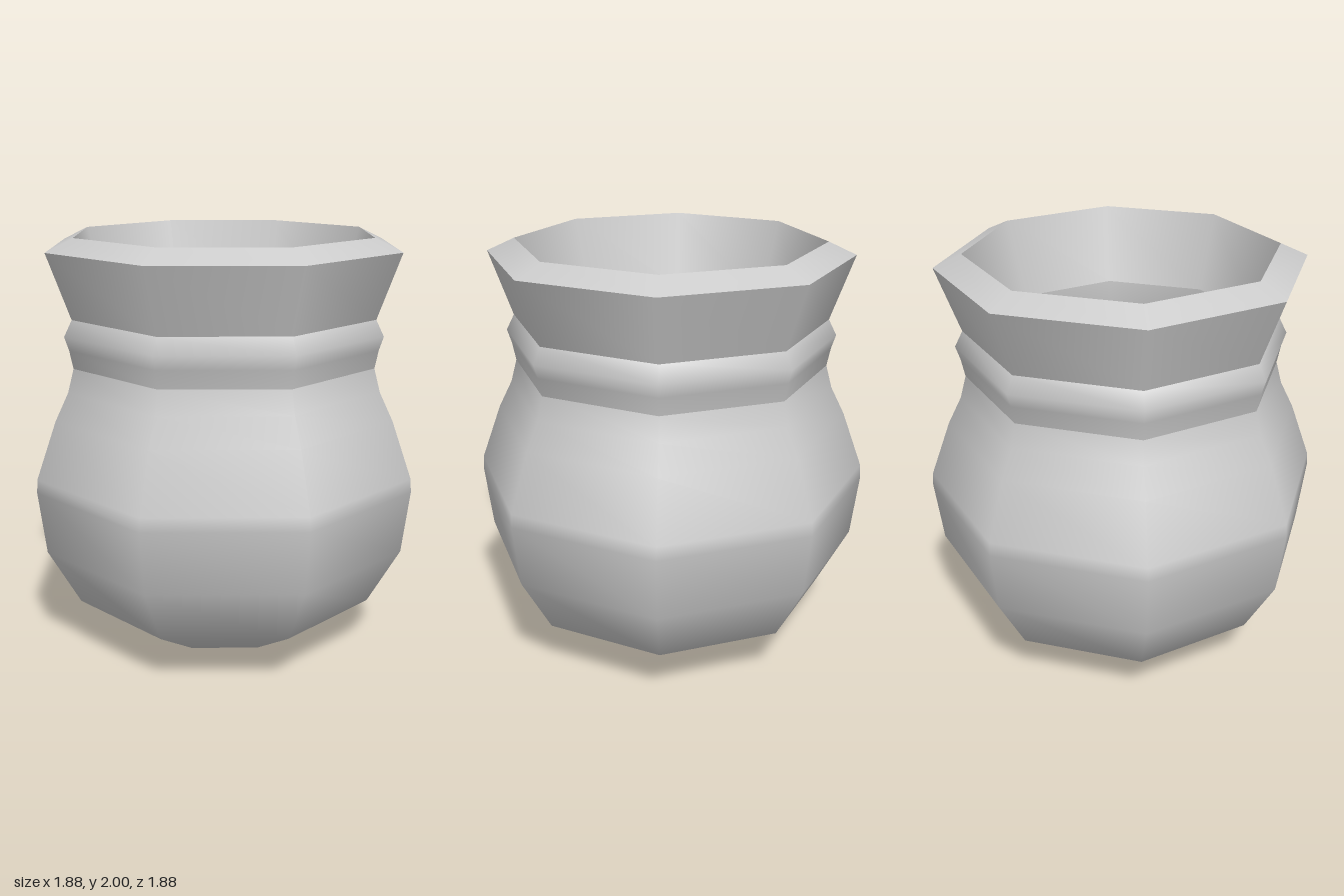
import * as THREE from 'three';

const SIDES = 8;

export function createModel() {
  const jar = new THREE.Group();
  jar.name = 'jar';
  const clay = new THREE.MeshStandardMaterial({ color: 0xcccccc });
  clay.name = 'grey clay';

  // Eight-sided smooth band; separate bands keep a hard edge where they meet.
  function band(name, profile) {
    const geometry = new THREE.LatheGeometry(profile.map(([r, y]) => new THREE.Vector2(r, y)), SIDES);
    const { position, normal } = geometry.attributes;
    // Straight normals where the profile meets the axis
    for (let i = 0; i < position.count; i++) {
      if (Math.hypot(position.getX(i), position.getZ(i)) < 1e-4) {
        normal.setXYZ(i, 0, Math.sign(normal.getY(i)), 0);
      }
    }
    const mesh = new THREE.Mesh(geometry, clay);
    mesh.name = name;
    jar.add(mesh);
  }

  // Rounded belly, from the shallow point underneath to the neck
  band('belly', [
    [0, 0], [0.415, 0.05], [0.752, 0.255], [0.906, 0.535], [0.942, 0.835],
    [0.938, 0.9], [0.84, 1.17], [0.775, 1.3], [0.745, 1.41],
  ]);
  // Raised ring around the neck
  band('neckRing', [[0.745, 1.41], [0.762, 1.495], [0.783, 1.56], [0.745, 1.635]]);
  // Flared collar and its sloping lip
  band('collar', [[0.745, 1.635], [0.855, 1.94]]);
  band('lip', [[0.855, 1.94], [0.725, 2]]);
  // Inside of the collar, narrowing to the throat
  band('throat', [[0.725, 2], [0.625, 1.635]]);
  // Hollow inside of the belly
  band('hollow', [
    [0.625, 1.635], [0.63, 1.41], [0.72, 1.17], [0.82, 0.87],
    [0.785, 0.56], [0.65, 0.32], [0.36, 0.15], [0, 0.11],
  ]);

  return jar;
}
